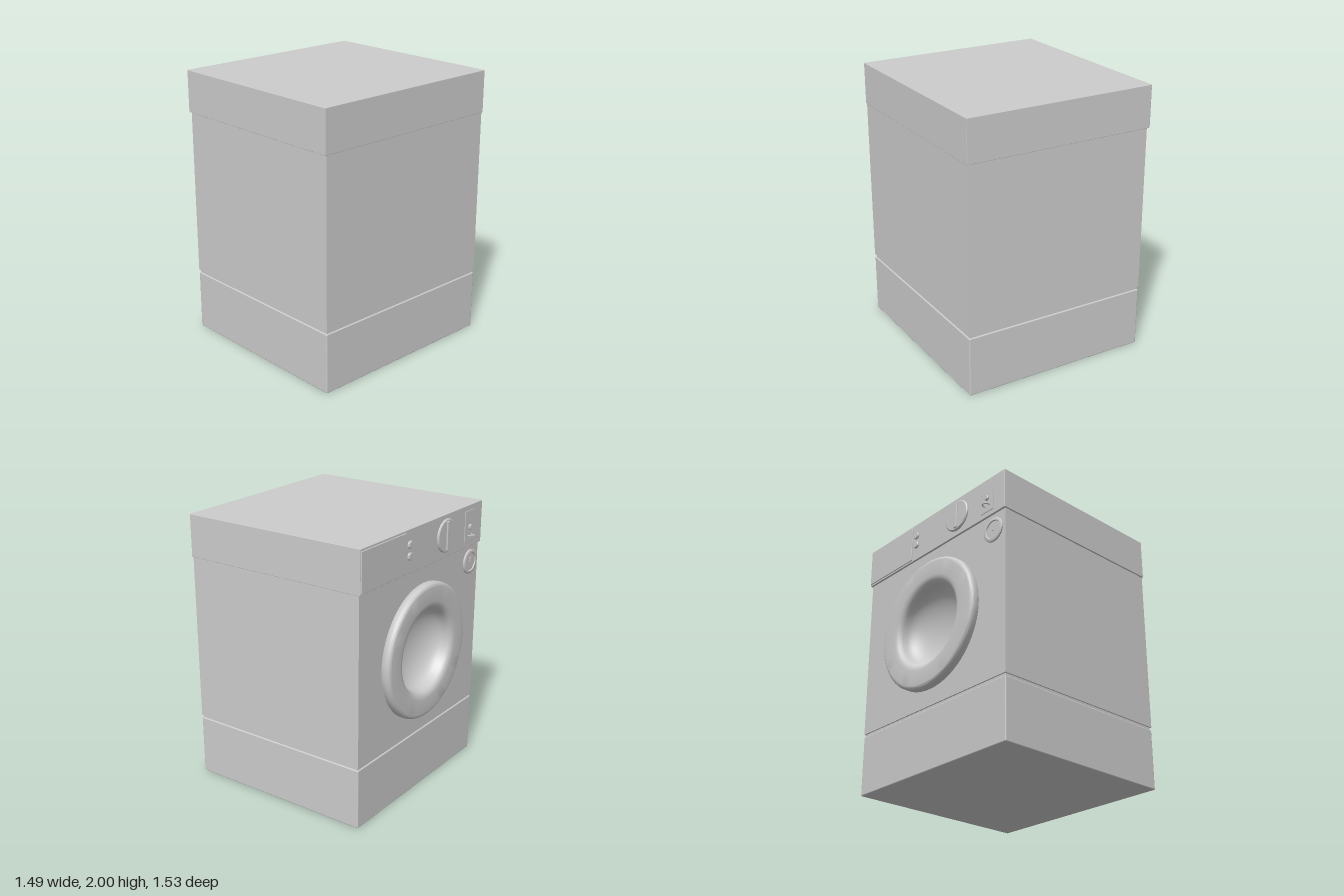
import * as THREE from 'three';
import { RoundedBoxGeometry } from 'three/addons/geometries/RoundedBoxGeometry.js';
import { toCreasedNormals } from 'three/addons/utils/BufferGeometryUtils.js';

const material = new THREE.MeshStandardMaterial({ color: 0xcccccc });
const LID_FACE = -0.695, BODY_FACE = -0.68;

export function createModel() {
  const root = new THREE.Group();

  const add = (name, geometry, x = 0, y = 0, z = 0) => {
    const mesh = new THREE.Mesh(geometry, material);
    mesh.name = name;
    mesh.position.set(x, y, z);
    root.add(mesh);
    return mesh;
  };

  // Box given by its limits on each axis
  const box = (name, [x0, x1], [y0, y1], [z0, z1], r = 0) => {
    const size = [x1 - x0, y1 - y0, z1 - z0];
    const geometry = r ? new RoundedBoxGeometry(...size, 2, r) : new THREE.BoxGeometry(...size);
    return add(name, geometry, (x0 + x1) / 2, (y0 + y1) / 2, (z0 + z1) / 2);
  };

  // Turned part standing out of the control side (-x); profile is [radius, height]
  const turned = (name, profile, x, y, z, segments = 48) => {
    const points = profile.map(([r, h]) => new THREE.Vector2(r, h));
    const geometry = toCreasedNormals(new THREE.LatheGeometry(points, segments), 0.6);
    geometry.rotateZ(Math.PI / 2);
    return add(name, geometry, x, y, z);
  };

  // Cabinet: plinth, recessed groove, body
  const side = [-0.755, 0.755];
  box('plinth', [BODY_FACE, 0.74], [0, 0.445], side, 0.008);
  box('groove', [BODY_FACE + 0.01, 0.73], [0.43, 0.48], [-0.745, 0.745]);
  box('body', [-0.38, 0.74], [0.465, 1.7], side);

  // Door side of the body, with the round opening
  const panel = new THREE.Shape();
  panel.moveTo(-0.755, 0.465).lineTo(0.755, 0.465).lineTo(0.755, 1.7).lineTo(-0.755, 1.7).closePath();
  const opening = new THREE.Path();
  opening.absarc(0, 1.08, 0.4, 0, Math.PI * 2, true);
  panel.holes.push(opening);
  const panelGeometry = new THREE.ExtrudeGeometry(panel, { depth: 0.3, bevelEnabled: false, curveSegments: 48 });
  panelGeometry.rotateY(-Math.PI / 2);
  add('doorPanel', panelGeometry, -0.38);

  // Overhanging top with the control fascia
  box('top', [LID_FACE, 0.743], [1.692, 2], [-0.766, 0.766], 0.003);

  // Door: rounded ring running into a concave bowl
  const door = [[0.49, -0.002], [0.495, 0.006], [0.495, 0.035]];
  for (let i = 1; i <= 6; i++) {
    const a = (i / 6) * Math.PI / 2;
    door.push([0.465 + 0.03 * Math.cos(a), 0.035 + 0.03 * Math.sin(a)]);
  }
  door.push([0.36, 0.065], [0.34, 0.062], [0.322, 0.053], [0.31, 0.04], [0.305, 0.025]);
  for (let i = 1; i <= 14; i++) {
    const a = (i / 14) * Math.PI / 2;
    door.push([0.3 * Math.cos(a), 0.02 - 0.15 * Math.sin(a)]);
  }
  turned('door', door, BODY_FACE, 1.08, 0, 72);

  // Detergent drawer front
  box('drawer', [LID_FACE - 0.007, LID_FACE + 0.01], [1.705, 1.985], [-0.76, -0.25], 0.003);

  // Pair of push buttons
  for (const y of [1.815, 1.895]) {
    turned('button', [[0.027, 0], [0.027, 0.009], [0.022, 0.014], [0, 0.015]], LID_FACE, y, -0.2, 24);
  }

  // Programme dial with a vertical grip
  turned('dial', [[0.12, 0], [0.12, 0.009], [0.113, 0.015], [0, 0.015]], LID_FACE, 1.85, 0.265);
  box('dialGrip', [LID_FACE - 0.024, LID_FACE], [1.745, 1.955], [0.25, 0.28], 0.006);

  // Lock plate with a button and a small ring
  box('lockPlate', [LID_FACE - 0.004, LID_FACE + 0.01], [1.73, 1.96], [0.525, 0.65], 0.002);
  turned('lockButton', [[0.02, 0], [0.02, 0.014], [0.015, 0.018], [0, 0.018]], LID_FACE, 1.84, 0.59, 24);
  const ring = new THREE.TorusGeometry(0.024, 0.005, 8, 32);
  ring.rotateX(Math.PI / 2);
  add('lockRing', ring, -0.712, 1.778, 0.59);

  // Round badge on the body below the fascia
  turned('roundCap', [[0.092, 0], [0.092, 0.01], [0.086, 0.014], [0.07, 0.014], [0.066, 0.007], [0, 0.007]],
    BODY_FACE, 1.565, 0.64);
  box('capMark', [BODY_FACE - 0.012, BODY_FACE], [1.555, 1.6], [0.633, 0.647], 0.003);

  return root;
}
